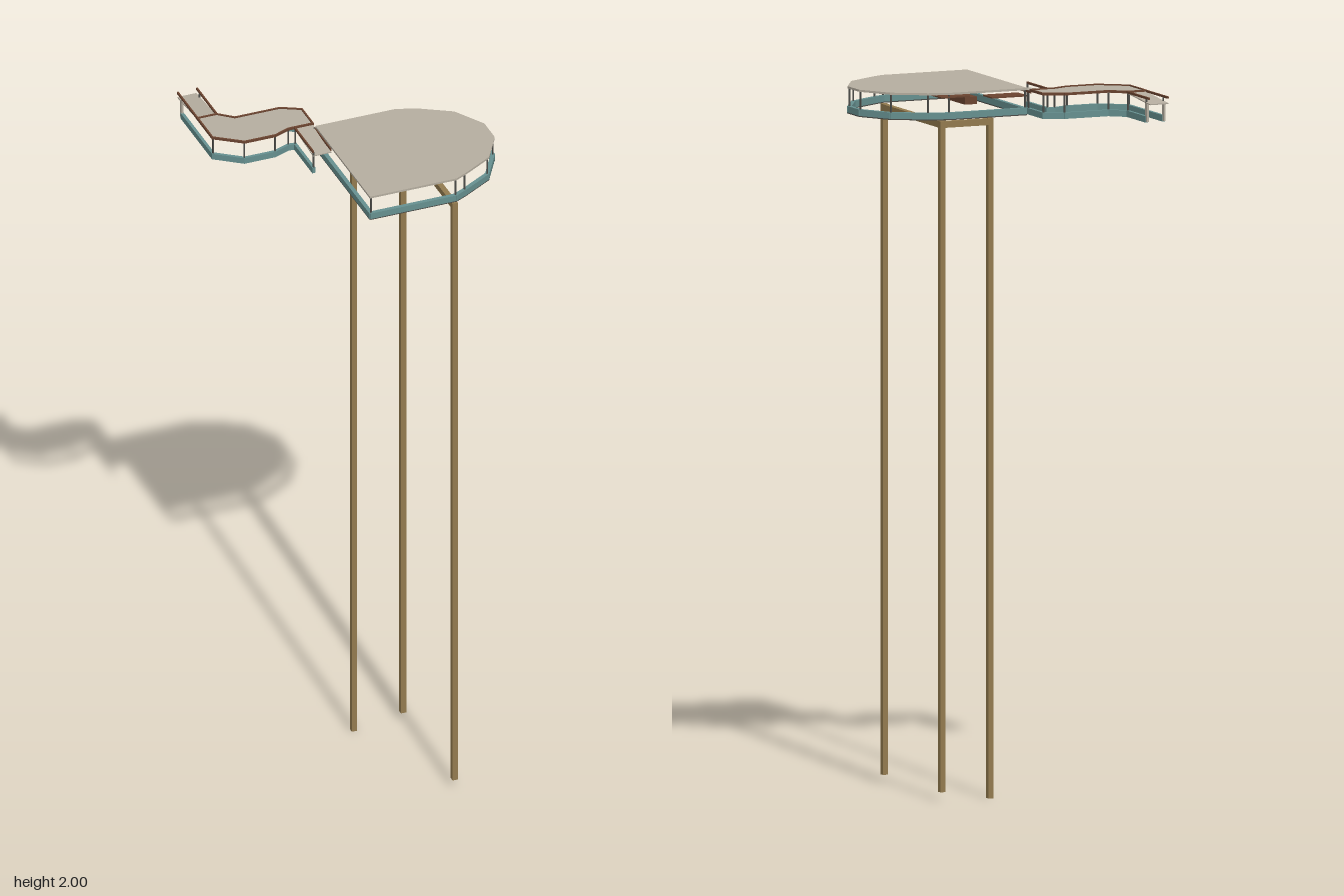
import * as THREE from 'three';

const mat = (name, color) => {
  const m = new THREE.MeshStandardMaterial({ color });
  m.name = name;
  return m;
};

export function createModel() {
  const model = new THREE.Group();
  model.name = 'lookoutPlatform';
  const deckStone = mat('warm grey deck', 0xb5ad9f);
  const timber = mat('tan timber', 0x927a4e);
  const brown = mat('dark brown trim', 0x6b4430);
  const teal = mat('teal frame', 0x66908f);
  const dark = mat('dark grey metal', 0x4a4a46);

  function box(name, material, x0, x1, y0, y1, z0, z1) {
    const mesh = new THREE.Mesh(new THREE.BoxGeometry(x1 - x0, y1 - y0, z1 - z0), material);
    mesh.position.set((x0 + x1) / 2, (y0 + y1) / 2, (z0 + z1) / 2);
    mesh.name = name;
    model.add(mesh);
    return mesh;
  }

  // Flat slab from an outline of [x, z] corners, with its top at the given height
  function slab(name, material, pts, top, thick) {
    const shape = new THREE.Shape(pts.map(([x, z]) => new THREE.Vector2(x, -z)));
    const geo = new THREE.ExtrudeGeometry(shape, { depth: thick, bevelEnabled: false });
    geo.rotateX(-Math.PI / 2);
    const mesh = new THREE.Mesh(geo, material);
    mesh.position.y = top - thick;
    mesh.name = name;
    model.add(mesh);
  }

  // Rectangular bar between two points
  function bar(name, material, a, b, w, h) {
    const p = new THREE.Vector3(...a), q = new THREE.Vector3(...b);
    const mesh = new THREE.Mesh(new THREE.BoxGeometry(w, h, p.distanceTo(q) + w * 0.6), material);
    mesh.position.copy(p).lerp(q, 0.5);
    mesh.lookAt(q);
    mesh.name = name;
    model.add(mesh);
  }

  function rail(name, material, pts, y, w, h) {
    for (let i = 0; i < pts.length - 1; i++) {
      const [a, b] = [pts[i], pts[i + 1]];
      bar(name, material, [a[0], y, a[1]], [b[0], y, b[1]], w, h);
    }
  }

  function posts(pts) {
    for (const [x, z] of pts) {
      box('railPost', dark, x - 0.002, x + 0.002, 1.94, 1.994, z - 0.002, z + 0.002);
    }
  }

  // Three tall legs and the beams joining their tops
  for (const [x, z, y0] of [[0.032, -0.032, 0], [0.18, -0.032, 0.026], [0.18, 0.353, 0.026]]) {
    box('leg', timber, x - 0.008, x + 0.008, y0, 1.92, z - 0.008, z + 0.008);
  }
  bar('legBeam', timber, [0.032, 1.91, -0.032], [0.18, 1.91, -0.032], 0.016, 0.018);
  bar('legBeam', timber, [0.18, 1.91, -0.032], [0.18, 1.91, 0.353], 0.016, 0.018);

  // Main platform: top slab, open lower frame and corner posts
  const main = [[-0.077, -0.047], [0.163, -0.047], [0.22, -0.028], [0.312, 0.027], [0.366, 0.118],
    [0.366, 0.195], [0.312, 0.287], [0.22, 0.342], [0.185, 0.36], [-0.077, 0.36]];
  slab('mainDeck', deckStone, main, 2.0, 0.006);
  const inner = main.map(([x, z]) => [0.14 + (x - 0.14) * 0.975, 0.157 + (z - 0.157) * 0.97]);
  const ring = [...inner, inner[0]];
  rail('lowerFrame', teal, ring, 1.935, 0.012, 0.018);
  rail('lowerFrameTrim', dark, ring, 1.9245, 0.011, 0.003);
  posts(inner);

  // Winding walkway slab with brown edging
  const walk = [[-0.365, -0.213], [-0.308, -0.213], [-0.267, -0.177], [-0.132, -0.177],
    [-0.077, -0.148], [-0.077, -0.066], [-0.15, -0.066], [-0.197, -0.047], [-0.29, -0.047],
    [-0.365, -0.102]];
  slab('walkway', deckStone, walk, 1.996, 0.004);
  rail('walkwayEdge', brown, [...walk, walk[0]], 1.996, 0.005, 0.007);

  // Sloping ramps at both ends of the walkway
  bar('endRamp', deckStone, [-0.3365, 1.993, -0.213], [-0.3365, 1.981, -0.346], 0.057, 0.003);
  bar('sideRamp', deckStone, [-0.1045, 1.993, -0.07], [-0.1045, 1.983, 0.056], 0.055, 0.003);
  for (const x of [-0.365, -0.307]) {
    rail('endRampRail', brown, [[x, -0.213], [x, -0.36]], 1.996, 0.005, 0.006);
  }
  rail('sideRampRail', brown, [[-0.132, -0.066], [-0.132, 0.072]], 1.996, 0.005, 0.006);
  rail('sideRampRail', brown, [[-0.078, -0.066], [-0.078, 0.072]], 1.99, 0.003, 0.006);

  // Lower frame and posts along both sides of the walkway
  const outerSide = [[-0.362, -0.335], [-0.362, -0.104], [-0.29, -0.05], [-0.197, -0.05],
    [-0.15, -0.069], [-0.13, -0.066], [-0.13, 0.07]];
  const innerSide = [[-0.31, -0.335], [-0.31, -0.211], [-0.267, -0.174], [-0.132, -0.174],
    [-0.08, -0.146], [-0.08, -0.047]];
  for (const side of [outerSide, innerSide]) {
    rail('walkwayLowerFrame', teal, side, 1.935, 0.009, 0.018);
    posts(side);
  }
  for (const x of [-0.362, -0.31]) {
    box('endPost', deckStone, x - 0.003, x + 0.003, 1.928, 1.98, -0.345, -0.332);
  }

  // Ledges and the small bench beneath the main deck
  box('ledge', brown, 0.1, 0.188, 1.985, 1.989, -0.045, 0.02);
  box('ledge', brown, -0.077, 0.03, 1.975, 1.979, -0.04, 0.02);
  box('bench', brown, 0.022, 0.06, 1.945, 1.966, 0.075, 0.185);
  box('benchFront', deckStone, 0.022, 0.06, 1.945, 1.966, 0.185, 0.19);

  return model;
}
